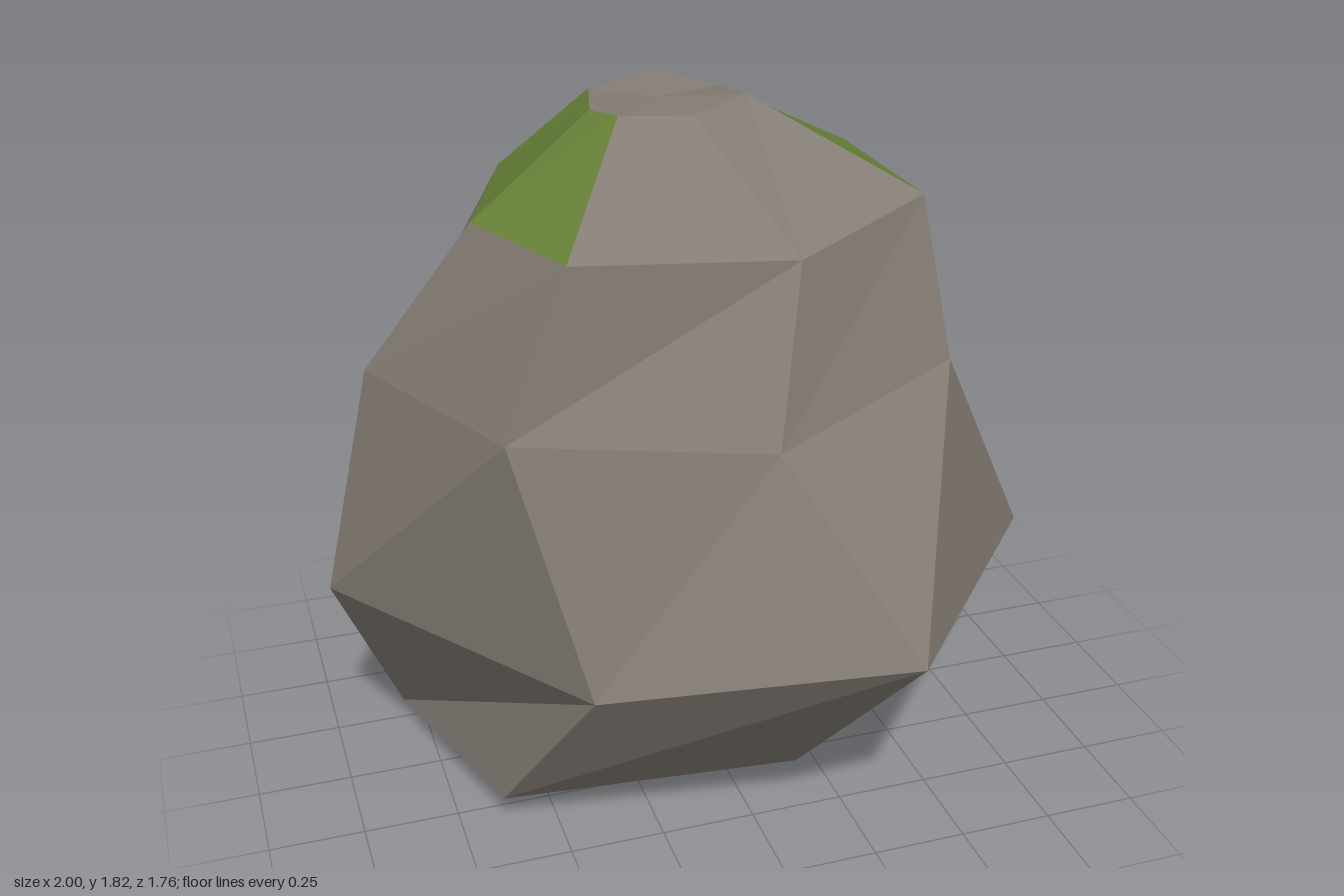
import * as THREE from 'three';

// Seven-sided cross-sections [x, y, z], anticlockwise from above
const base = [[-0.29, 0.08, -0.08], [-0.24, 0.09, 0.08], [0, 0.1, 0.2], [0.35, 0.1, 0.09], [0.3, 0.08, -0.2], [0, 0.08, -0.33], [-0.22, 0.09, -0.26]];
const foot = [[-0.81, 0.07, -0.23], [-0.64, 0.08, 0.33], [0.12, 0.15, 0.5], [0.55, 0.1, 0.2], [0.64, 0.03, -0.39], [0, 0, -0.62], [-0.48, 0.14, -0.61]];
const belly = [[-1, 0.565, -0.07], [-0.46, 0.53, 0.63], [0.3, 0.63, 0.88], [0.88, 0.605, 0.2], [1, 0.58, -0.46], [0.24, 0.41, -0.88], [-0.48, 0.43, -0.76]];
const waist = [[-0.86, 1.18, -0.07], [-0.62, 1.18, 0.48], [0.02, 1.12, 0.6], [0.585, 1.18, 0.325], [0.72, 1.12, -0.215], [0.1, 1.12, -0.6], [-0.63, 1.15, -0.53]];
const shoulder = [[-0.59, 1.58, 0.04], [-0.45, 1.59, 0.44], [0.13, 1.535, 0.425], [0.55, 1.585, 0.19], [0.51, 1.61, -0.245], [0.1, 1.58, -0.46], [-0.41, 1.565, -0.46]];
const crown = [[-0.24, 1.79, -0.12], [-0.2, 1.8, 0], [-0.02, 1.8, 0.05], [0.16, 1.81, -0.07], [0.15, 1.79, -0.245], [0, 1.82, -0.34], [-0.19, 1.79, -0.32]];

const SIDES = 7;
const ALL = [0, 1, 2, 3, 4, 5, 6];

// Quads joining a lower ring to an upper one, on the chosen sides
function band(lower, upper, sides = ALL) {
  return sides.flatMap((i) => {
    const j = (i + 1) % SIDES;
    return [lower[i], lower[j], upper[j], lower[i], upper[j], upper[i]];
  });
}

// Fan closing a ring, facing up or down
function cap(ring, up) {
  const centre = [0, 1, 2].map((k) => ring.reduce((sum, p) => sum + p[k], 0) / SIDES);
  return ALL.flatMap((i) => {
    const a = ring[i], b = ring[(i + 1) % SIDES];
    return up ? [centre, a, b] : [centre, b, a];
  });
}

function facetMesh(name, corners, material) {
  const geometry = new THREE.BufferGeometry();
  geometry.setAttribute('position', new THREE.Float32BufferAttribute(corners.flat(), 3));
  geometry.computeVertexNormals();
  const mesh = new THREE.Mesh(geometry, material);
  mesh.name = name;
  return mesh;
}

export function createModel() {
  const group = new THREE.Group();
  group.name = 'rock';
  const stone = new THREE.MeshStandardMaterial({ color: 0x857d75 });
  stone.name = 'stone';
  stone.flatShading = true;
  const moss = new THREE.MeshStandardMaterial({ color: 0x688238 });
  moss.name = 'moss';
  moss.flatShading = true;

  // Facets of the upper slope that are overgrown
  const mossy = [0, 3, 6];
  const bare = ALL.filter((i) => !mossy.includes(i));

  group.add(
    facetMesh('underside', [...cap(base, false), ...band(base, foot)], stone),
    facetMesh('lowerRock', band(foot, belly), stone),
    facetMesh('middleRock', band(belly, waist), stone),
    facetMesh('upperRock', band(waist, shoulder), stone),
    facetMesh('topSlope', band(shoulder, crown, bare), stone),
    facetMesh('mossPatches', band(shoulder, crown, mossy), moss),
    facetMesh('crown', cap(crown, true), stone),
  );
  return group;
}
